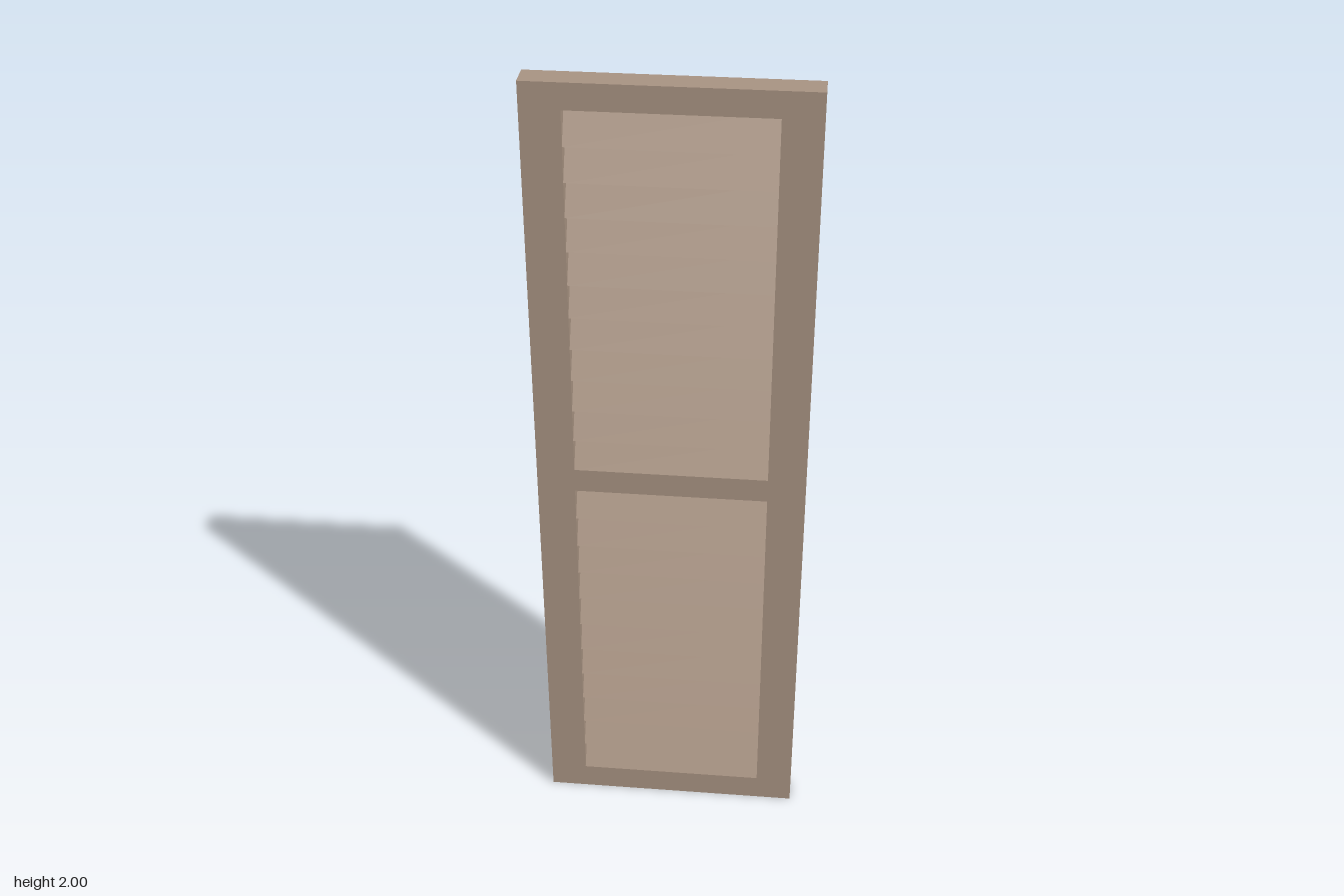
import * as THREE from 'three';

const HALF_W = 0.32, HEIGHT = 2, FRONT = 0.031, BACK = -0.031;
const OPEN_W = 0.23, SLAT_BACK = -0.014, SLATS = 11;
const openings = [['lower', 0.067, 0.973], ['upper', 1.033, 1.939]]; // name, bottom, top

const polygon = (points, Type = THREE.Shape) =>
  new Type(points.map(([x, y]) => new THREE.Vector2(x, y)));
const rect = (w, y0, y1, Type) => polygon([[-w, y0], [w, y0], [w, y1], [-w, y1]], Type);

export function createModel() {
  const group = new THREE.Group();
  group.name = 'louveredShutter';
  const wood = new THREE.MeshStandardMaterial({ color: 0xa89382, flatShading: true });
  const add = (name, geometry, parent = group) => {
    const mesh = new THREE.Mesh(geometry, wood);
    mesh.name = name;
    parent.add(mesh);
    return mesh;
  };

  // Frame with two openings
  const outline = rect(HALF_W, 0, HEIGHT);
  for (const [, y0, y1] of openings) outline.holes.push(rect(OPEN_W, y0, y1, THREE.Path));
  add('frame', new THREE.ExtrudeGeometry(outline, { depth: FRONT - SLAT_BACK, bevelEnabled: false })
    .translate(0, 0, SLAT_BACK));

  // Closed back
  const thickness = SLAT_BACK - BACK;
  add('backPanel', new THREE.BoxGeometry(HALF_W * 2, HEIGHT, thickness)
    .translate(0, HEIGHT / 2, BACK + thickness / 2));

  // Slats: wedges leaning back at the top, flush with the frame at the bottom
  for (const [name, y0, y1] of openings) {
    const bank = new THREE.Group();
    bank.name = name + 'Slats';
    group.add(bank);
    const pitch = (y1 - y0) / SLATS;
    const profile = polygon([[SLAT_BACK, 0], [FRONT, 0], [SLAT_BACK, pitch]]);
    const wedge = new THREE.ExtrudeGeometry(profile, { depth: OPEN_W * 2, bevelEnabled: false })
      .translate(0, 0, -OPEN_W)
      .rotateY(-Math.PI / 2);
    for (let i = 0; i < SLATS; i++) add('slat', wedge, bank).position.y = y0 + i * pitch;
  }
  return group;
}
